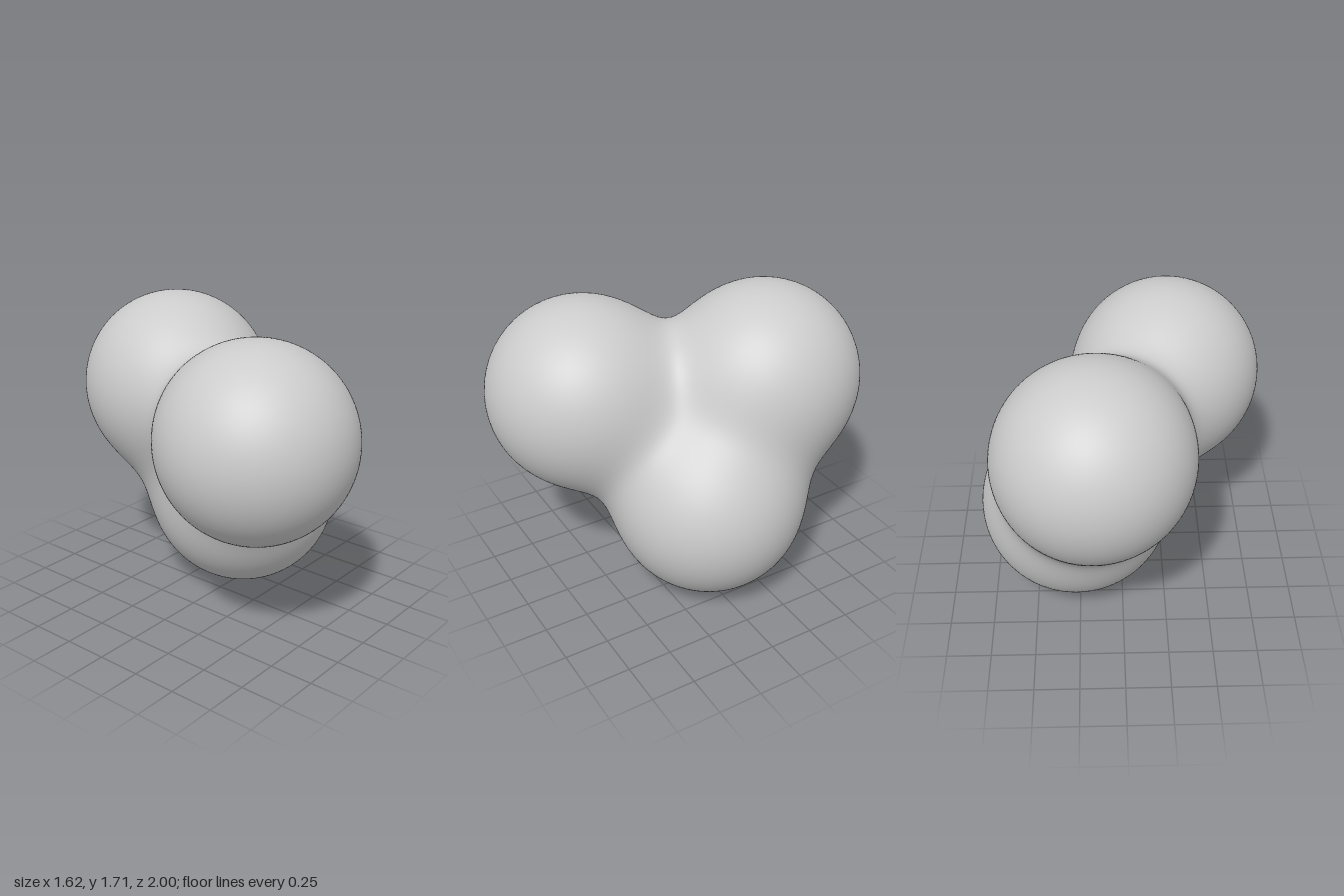
import * as THREE from 'three';

// Three equal balls melted into one smooth blob
const RADIUS = 0.54;
const BLEND = 0.115;
const CENTRES = [
  new THREE.Vector3(-0.27, 1.115, 0.46), // front upper ball
  new THREE.Vector3(0.155, 1.165, -0.46), // back upper ball
  new THREE.Vector3(0.265, 0.54, -0.04), // lower ball
];

// Signed distance to the smooth union of the balls
function field(p) {
  let sum = 0;
  for (const c of CENTRES) sum += Math.exp((RADIUS - p.distanceTo(c)) / BLEND);
  return -BLEND * Math.log(sum);
}

// Outward direction of the surface, from the slope of the field
function slope(p) {
  const n = new THREE.Vector3();
  for (const c of CENTRES) {
    const d = p.distanceTo(c);
    n.addScaledVector(p.clone().sub(c), Math.exp((RADIUS - d) / BLEND) / d);
  }
  return n.normalize();
}

export function createModel() {
  const group = new THREE.Group();
  group.name = 'mergedBalls';

  const core = new THREE.Vector3();
  CENTRES.forEach((c) => core.addScaledVector(c, 1 / 3));

  // Push every vertex of a fine sphere outwards until it meets the surface
  const geometry = new THREE.IcosahedronGeometry(1, 36);
  const pos = geometry.attributes.position;
  const nor = geometry.attributes.normal;
  const dir = new THREE.Vector3();
  const p = new THREE.Vector3();
  for (let i = 0; i < pos.count; i++) {
    dir.fromBufferAttribute(pos, i).normalize();
    let t = 0;
    for (let k = 0; k < 80; k++) {
      const d = field(p.copy(core).addScaledVector(dir, t));
      if (Math.abs(d) < 1e-4) break;
      t -= d;
    }
    p.copy(core).addScaledVector(dir, t);
    const n = slope(p);
    pos.setXYZ(i, p.x, p.y, p.z);
    nor.setXYZ(i, n.x, n.y, n.z);
  }

  const blob = new THREE.Mesh(geometry, new THREE.MeshStandardMaterial({ color: 0xcccccc }));
  blob.name = 'blob';
  group.add(blob);
  return group;
}
